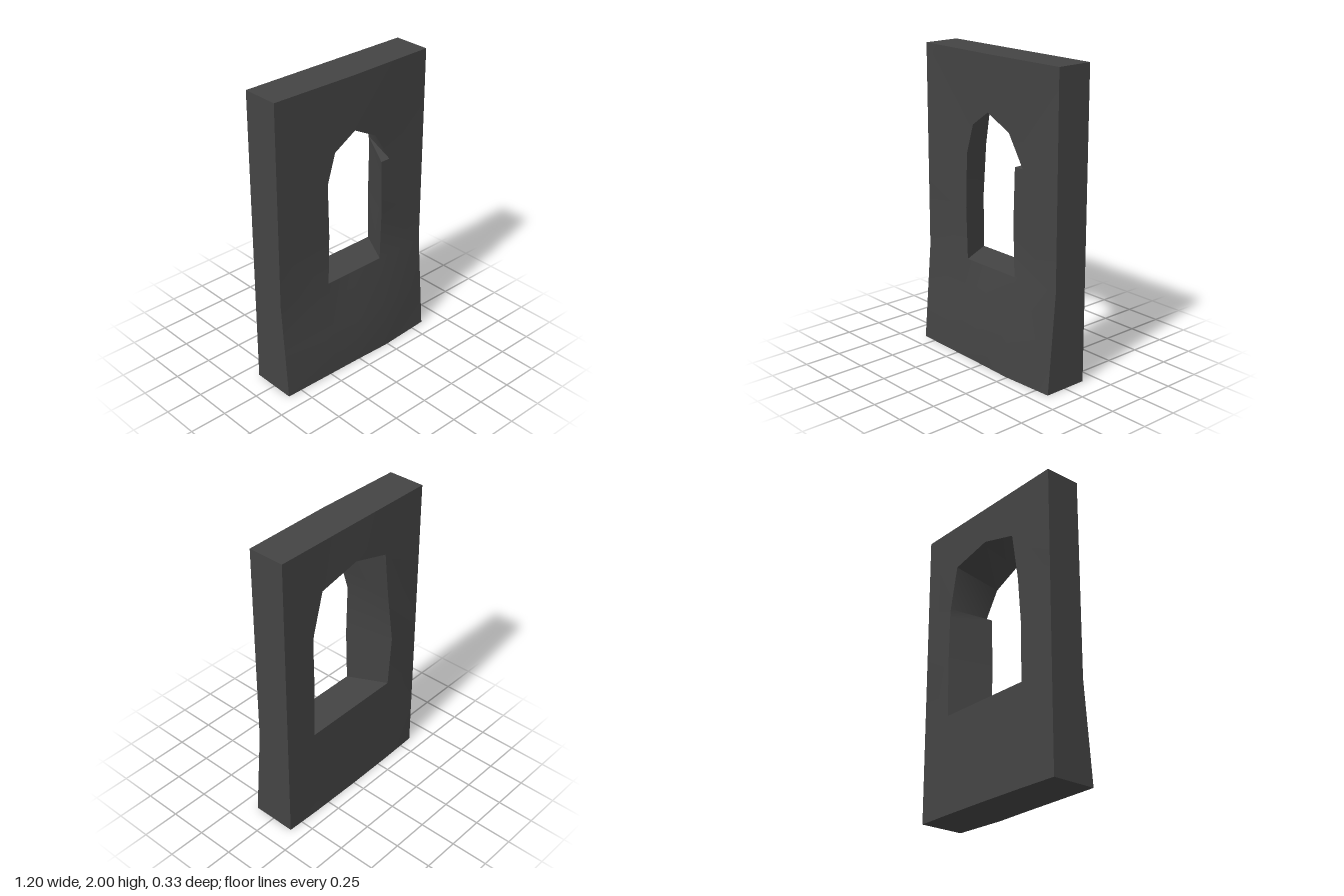
import * as THREE from 'three';
import { toCreasedNormals } from 'three/addons/utils/BufferGeometryUtils.js';

const FRONT = 0.09, BACK = -0.155;

// Add a default depth to points given as [x, y] or [x, y, z]
const at = (points, z) => points.map(p => [p[0], p[1], p[2] ?? z]);

// Outer edge above the sill line, from right foot over the top to left foot
const outer = [[0.6, 0.65], [0.6, 1], [0.6, 1.3], [0.6, 1.45], [0.6, 2], [0, 2],
  [-0.6, 2], [-0.6, 1.35], [-0.6, 1], [-0.6, 0.65]];

// Pointed opening, narrow at the front and wide at the back, in the same order
const frontHole = at([[0.235, 0.65], [0.235, 1, 0.1], [0.235, 1.35], [0.305, 1.35], [0.18, 1.55],
  [0, 1.645, 0.1], [-0.15, 1.545], [-0.21, 1.35], [-0.21, 1, 0.1], [-0.21, 0.65]], FRONT);
const backHole = at([[0.365, 0.65], [0.365, 1, -0.16], [0.365, 1.34], [0.36, 1.4], [0.29, 1.68, -0.162],
  [0, 1.745, -0.162], [-0.265, 1.67, -0.162], [-0.31, 1.35], [-0.35, 1, -0.166], [-0.335, 0.65]], BACK);

const frontOuter = at(outer, FRONT), backOuter = at(outer, BACK);
frontOuter[5][2] = 0.1;

// Horizontal row of points below the sill, left to right
const row = (xs, y, zs) => xs.map((x, i) => [x, y, zs[i]]);
const frontXs = [-0.6, -0.21, 0, 0.235, 0.6], backXs = [-0.6, -0.335, 0, 0.365, 0.6];
const frontRows = [
  row(frontXs, 0, [0.145, 0.153, 0.157, 0.165, 0.145]),
  row(frontXs, 0.32, [0.118, 0.138, 0.148, 0.158, 0.118]),
  row(frontXs, 0.65, Array(5).fill(FRONT))];
const backRows = [
  row(backXs, 0, [BACK, -0.162, -0.165, -0.162, BACK]),
  row(backXs, 0.32, [BACK, -0.158, -0.16, -0.158, BACK]),
  row(backXs, 0.65, Array(5).fill(BACK))];

// Full outline of one face: bottom row, right edge, top, left edge
const outline = (rows, edge) => [...rows[0], rows[1][4], ...edge, rows[1][0], rows[0][0]];

// Skin a strip between two paths of equal length
function strip(out, a, b) {
  for (let i = 0; i < a.length - 1; i++) {
    out.push(...a[i], ...a[i + 1], ...b[i + 1], ...a[i], ...b[i + 1], ...b[i]);
  }
}

export function createModel() {
  const group = new THREE.Group();
  group.name = 'windowWall';
  const material = new THREE.MeshStandardMaterial({ color: 0x444444 });

  const add = (name, pairs) => {
    const positions = [];
    pairs.forEach(([a, b]) => strip(positions, a, b));
    const geometry = new THREE.BufferGeometry();
    geometry.setAttribute('position', new THREE.Float32BufferAttribute(positions, 3));
    const mesh = new THREE.Mesh(toCreasedNormals(geometry, 0.6), material);
    mesh.name = name;
    group.add(mesh);
  };

  // Front face with the flared foot
  add('frontFace', [[frontOuter, frontHole], [frontRows[0], frontRows[1]], [frontRows[1], frontRows[2]]]);
  // Nearly flat back face
  add('backFace', [[backHole, backOuter], [backRows[1], backRows[0]], [backRows[2], backRows[1]]]);
  // Ends, top and underside
  add('wallEdges', [[outline(backRows, backOuter), outline(frontRows, frontOuter)]]);
  // Splayed sides, arch and sill of the opening
  const sill = (hole, rows) => [...hole, rows[2][2], hole[0]];
  add('windowReveal', [[sill(frontHole, frontRows), sill(backHole, backRows)]]);

  return group;
}
